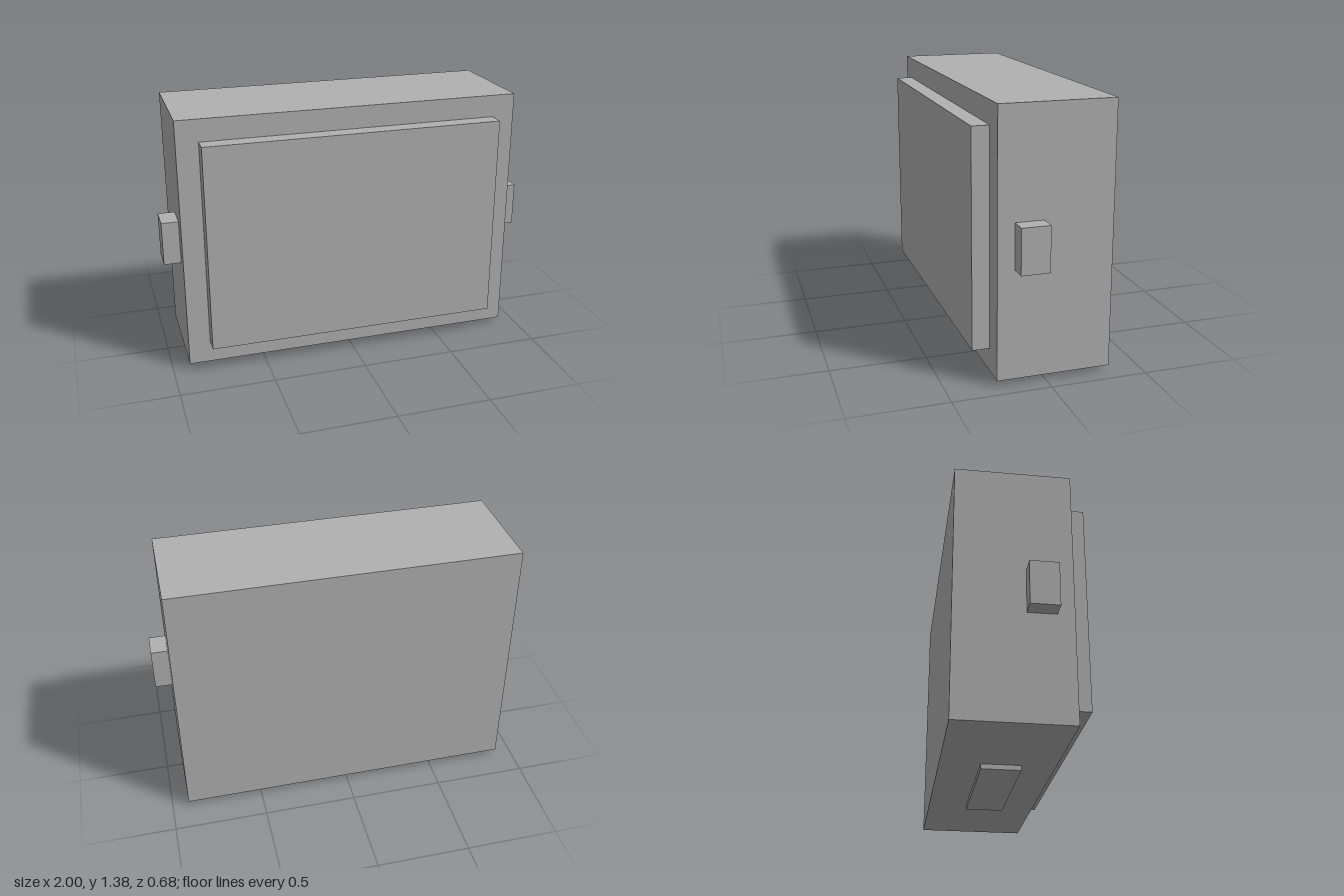
import * as THREE from 'three';

const grey = new THREE.MeshStandardMaterial({ color: 0xb0b0b0 });
grey.name = 'grey';

// Box given by its lower and upper limits on each axis
function block(name, [x0, x1], [y0, y1], [z0, z1]) {
  const mesh = new THREE.Mesh(new THREE.BoxGeometry(x1 - x0, y1 - y0, z1 - z0), grey);
  mesh.position.set((x0 + x1) / 2, (y0 + y1) / 2, (z0 + z1) / 2);
  mesh.name = name;
  return mesh;
}

export function createModel() {
  const model = new THREE.Group();
  model.name = 'boxWithFrontPanel';

  // Main housing, raised front panel and the low foot below
  model.add(
    block('body', [-0.911, 0.911], [0.026, 1.378], [-0.338, 0.249]),
    block('frontPanel', [-0.796, 0.791], [0.145, 1.26], [0.249, 0.338]),
    block('foot', [-0.352, 0.35], [0, 0.026], [-0.131, 0.073]),
  );

  // Small lugs on both sides
  for (const [name, x] of [['leftLug', [0.911, 1]], ['rightLug', [-1, -0.911]]]) {
    model.add(block(name, x, [0.586, 0.818], [0.017, 0.163]));
  }
  return model;
}
